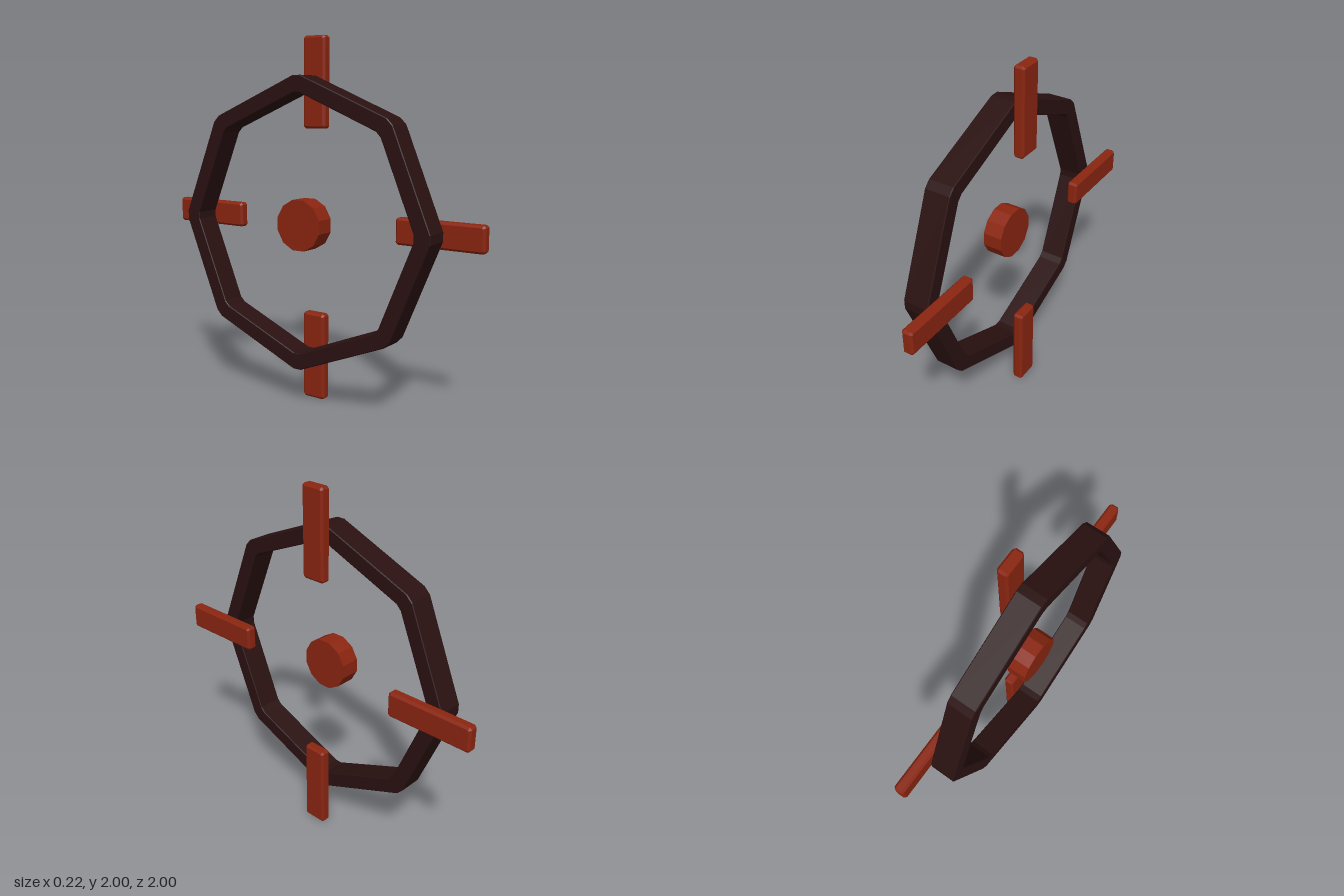
import * as THREE from 'three';

const darkWood = new THREE.MeshStandardMaterial({ color: 0x2a1111, flatShading: true });
darkWood.name = 'dark brown';
const redPaint = new THREE.MeshStandardMaterial({ color: 0x8a2510, flatShading: true });
redPaint.name = 'rust red';

// Octagon outline with each corner cut back to radius `cut`
function cutOctagon(radius, cut) {
  const half = (radius - cut) * Math.tan(Math.PI * 3 / 8);
  const points = [];
  for (let i = 0; i < 8; i++) {
    const a = i * Math.PI / 4;
    for (const t of [-half, half]) {
      points.push(new THREE.Vector2(
        cut * Math.cos(a) - t * Math.sin(a),
        cut * Math.sin(a) + t * Math.cos(a)));
    }
  }
  return points;
}

// Extrude with a chamfer kept inside the outline, turned to run along x and centred
function chamferedSlab(shape, thickness, chamfer) {
  const geometry = new THREE.ExtrudeGeometry(shape, {
    depth: thickness - 2 * chamfer, bevelEnabled: true, bevelSegments: 1,
    bevelSize: chamfer, bevelOffset: -chamfer, bevelThickness: chamfer,
  });
  geometry.translate(0, 0, -(thickness - 2 * chamfer) / 2);
  return geometry.rotateY(Math.PI / 2);
}

function addMesh(parent, name, geometry, material, x, y, z) {
  const mesh = new THREE.Mesh(geometry, material);
  mesh.name = name;
  mesh.position.set(x, y, z);
  parent.add(mesh);
  return mesh;
}

export function createModel() {
  const model = new THREE.Group();
  model.name = 'wheel';

  // Eight-sided rim
  const rimShape = new THREE.Shape(cutOctagon(0.8, 0.79));
  rimShape.holes.push(new THREE.Path(cutOctagon(0.708, 0.7).reverse()));
  addMesh(model, 'rim', chamferedSlab(rimShape, 0.142, 0.004), darkWood, -0.039, 1, 0);

  // Central hub disc
  const hub = new THREE.CylinderGeometry(0.141, 0.141, 0.11, 12);
  hub.rotateY(Math.PI / 12).rotateZ(-Math.PI / 2);
  addMesh(model, 'hub', hub, redPaint, -0.04, 1, 0);

  // Four chamfered handles crossing the rim
  const w = 0.07, h = 0.245, c = 0.012;
  const handleShape = new THREE.Shape([
    [-w + c, -h], [w - c, -h], [w, -h + c], [w, h - c],
    [w - c, h], [-w + c, h], [-w, h - c], [-w, -h + c],
  ].map(([x, y]) => new THREE.Vector2(x, y)));
  const handle = chamferedSlab(handleShape, 0.06, c);
  for (let i = 0; i < 4; i++) {
    const a = i * Math.PI / 2;
    const mesh = addMesh(model, 'handle' + (i + 1), handle, redPaint,
      0.075, 1 + 0.755 * Math.cos(a), 0.755 * Math.sin(a));
    mesh.rotation.x = a;
  }
  return model;
}
